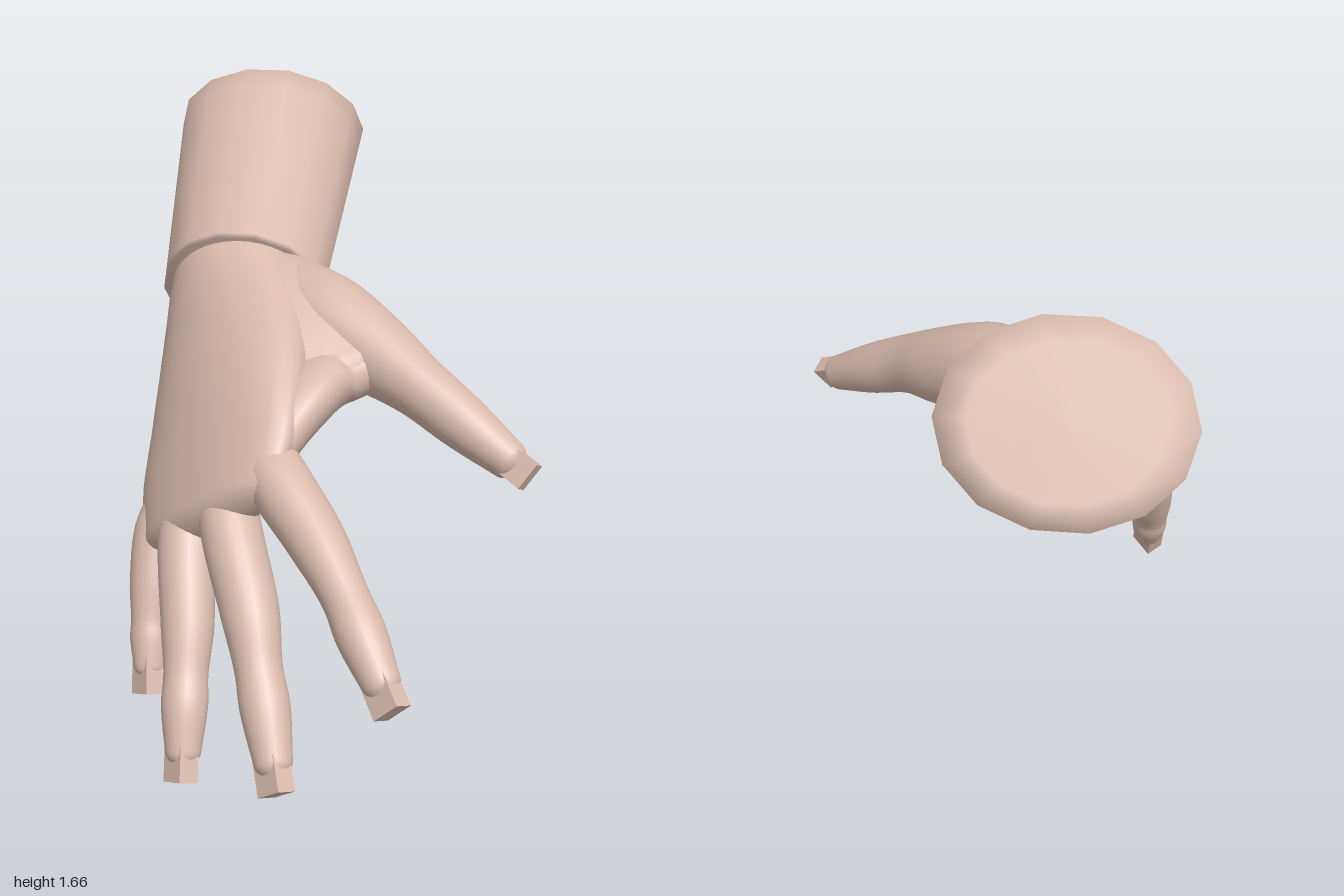
import * as THREE from 'three';

const V = (x, y, z) => new THREE.Vector3(x, y, z);
const BACK = V(-0.8, 0.59, -0.08); // direction the back of the hand faces

// side and up vectors of a section across tangent t
function frame(t, up) {
  const side = up.clone().cross(t).normalize();
  return { side, up: t.clone().cross(side).normalize() };
}

// skin over elliptical rings {c, a, b}: centre, half width, half thickness
function skin(rings, sides, up) {
  const pos = [], index = [], n = rings.length;
  rings.forEach((r, i) => {
    const t = rings[Math.min(i + 1, n - 1)].c.clone().sub(rings[Math.max(i - 1, 0)].c).normalize();
    const f = frame(t, up);
    for (let j = 0; j < sides; j++) {
      const w = (j / sides) * Math.PI * 2;
      const p = r.c.clone().addScaledVector(f.side, Math.cos(w) * r.a).addScaledVector(f.up, Math.sin(w) * r.b);
      pos.push(p.x, p.y, p.z);
      if (i === n - 1) continue;
      const k = (j + 1) % sides, a = i * sides + j, b = i * sides + k;
      index.push(a, b, a + sides, b, b + sides, a + sides);
    }
  });
  const g = new THREE.BufferGeometry();
  g.setAttribute('position', new THREE.Float32BufferAttribute(pos, 3));
  g.setIndex(index);
  g.computeVertexNormals();
  return g;
}

// smooth limb through sections [x, y, z, half width, half thickness], rounded at both ends
function limb(sections, sides = 24, up = BACK) {
  const rows = 40;
  const path = new THREE.CatmullRomCurve3(sections.map(s => V(s[0], s[1], s[2])));
  const size = new THREE.CatmullRomCurve3(sections.map(s => V(s[3], s[4] ?? s[3], 0)), false, 'catmullrom');
  const rings = [];
  const cap = (u, sign) => {
    const c = path.getPoint(u), t = path.getTangent(u), s = size.getPoint(u);
    for (let k = 1; k <= 6; k++) {
      const w = ((sign < 0 ? 7 - k : k) / 6) * Math.PI / 2;
      const m = Math.max(Math.cos(w), 0.005);
      rings.push({ c: c.clone().addScaledVector(t, sign * Math.sin(w) * s.y * 0.8), a: s.x * m, b: s.y * m });
    }
  };
  cap(0, -1);
  for (let i = 0; i <= rows; i++) {
    const s = size.getPoint(i / rows);
    rings.push({ c: path.getPoint(i / rows), a: s.x, b: s.y });
  }
  cap(1, 1);
  return skin(rings, sides, up);
}

export function createModel() {
  const group = new THREE.Group();
  const skinMat = new THREE.MeshStandardMaterial({ color: 0xd9baab });
  skinMat.name = 'skin';
  const add = (name, geometry, parent = group) => {
    const m = new THREE.Mesh(geometry, skinMat);
    m.name = name;
    parent.add(m);
    return m;
  };

  // forearm: tapering stump with softly shaded rims; rings are [position along axis, scale]
  const far = V(0.352, 1.455, -0.807), near = V(0.005, 1.07, -0.305);
  const stump = [[-0.006, 0.005], [-0.004, 0.75], [0, 1], [0.1, 1], [0.97, 1], [1, 1], [1.004, 0.005]];
  add('forearm', skin(stump.map(([u, s]) => ({
    c: far.clone().lerp(near, u),
    a: s * THREE.MathUtils.lerp(0.296, 0.24, u),
    b: s * THREE.MathUtils.lerp(0.242, 0.23, u),
  })), 14, V(-0.3, 0.84, 0.445)));

  // palm, from the wrist to the webs between the fingers
  add('palm', limb([
    [0.06, 1.14, -0.39, 0.19, 0.18],
    [0, 1.07, -0.3, 0.218, 0.205],
    [-0.1, 0.96, -0.14, 0.275, 0.165],
    [-0.2, 0.84, 0.02, 0.305, 0.135],
    [-0.28, 0.73, 0.13, 0.315, 0.112],
    [-0.35, 0.635, 0.235, 0.28, 0.082],
  ], 40));

  // ball of the thumb: broad sheet carrying the back of the hand over to the thumb
  add('thumbBall', limb([
    [0.01, 1.07, -0.27, 0.17, 0.17],
    [0.01, 1.045, -0.08, 0.2, 0.145],
    [0.01, 0.985, 0.08, 0.215, 0.12],
    [0.01, 0.935, 0.2, 0.21, 0.088],
  ], 32, V(-0.35, 0.855, 0.29)));

  // web of skin from the index knuckle to the thumb
  add('thumbWeb', limb([
    [-0.21, 0.82, 0.3, 0.1, 0.07],
    [-0.1, 0.89, 0.23, 0.13, 0.085],
    [0.04, 0.945, 0.17, 0.125, 0.09],
    [0.17, 0.985, 0.19, 0.1, 0.085],
  ]));

  // digits: sections [x, y, z, radius] from inside the palm to the tip
  const digits = {
    thumb: [[0.05, 1.08, -0.28, 0.13], [0.075, 1.07, -0.12, 0.135], [0.115, 1.05, 0.03, 0.135],
      [0.18, 0.99, 0.2, 0.113], [0.23, 0.935, 0.34, 0.087], [0.29, 0.865, 0.47, 0.076], [0.35, 0.795, 0.6, 0.055]],
    indexFinger: [[-0.21, 0.815, 0.25, 0.07], [-0.225, 0.768, 0.38, 0.085], [-0.205, 0.66, 0.57, 0.077],
      [-0.2, 0.57, 0.71, 0.062], [-0.2, 0.5, 0.8, 0.065], [-0.2, 0.42, 0.9, 0.05]],
    middleFinger: [[-0.275, 0.74, 0.17, 0.07], [-0.328, 0.635, 0.31, 0.082], [-0.36, 0.46, 0.5, 0.077],
      [-0.38, 0.35, 0.59, 0.063], [-0.395, 0.27, 0.66, 0.065], [-0.415, 0.17, 0.745, 0.05]],
    ringFinger: [[-0.325, 0.66, 0.07, 0.07], [-0.397, 0.545, 0.18, 0.079], [-0.46, 0.36, 0.32, 0.072],
      [-0.495, 0.26, 0.385, 0.06], [-0.52, 0.19, 0.43, 0.062], [-0.548, 0.09, 0.48, 0.048]],
    littleFinger: [[-0.36, 0.605, -0.01, 0.055], [-0.412, 0.505, 0.01, 0.067], [-0.455, 0.37, 0.06, 0.064],
      [-0.48, 0.28, 0.095, 0.053], [-0.49, 0.23, 0.115, 0.055], [-0.505, 0.165, 0.145, 0.045]],
  };
  for (const [name, pts] of Object.entries(digits)) {
    const digit = new THREE.Group();
    digit.name = name;
    group.add(digit);
    add(name + 'Flesh', limb(pts), digit);

    // blocky nail projecting past the tip
    const [end, prev] = [pts.at(-1), pts.at(-2)].map(p => V(p[0], p[1], p[2]));
    const t = end.clone().sub(prev).normalize(), f = frame(t, BACK);
    const nail = add(name + 'Nail', new THREE.BoxGeometry(0.08, 0.055, 0.1), digit);
    nail.quaternion.setFromRotationMatrix(new THREE.Matrix4().makeBasis(f.side, f.up, t));
    nail.position.copy(end).addScaledVector(t, 0.03).addScaledVector(f.up, 0.005);
  }
  return group;
}
